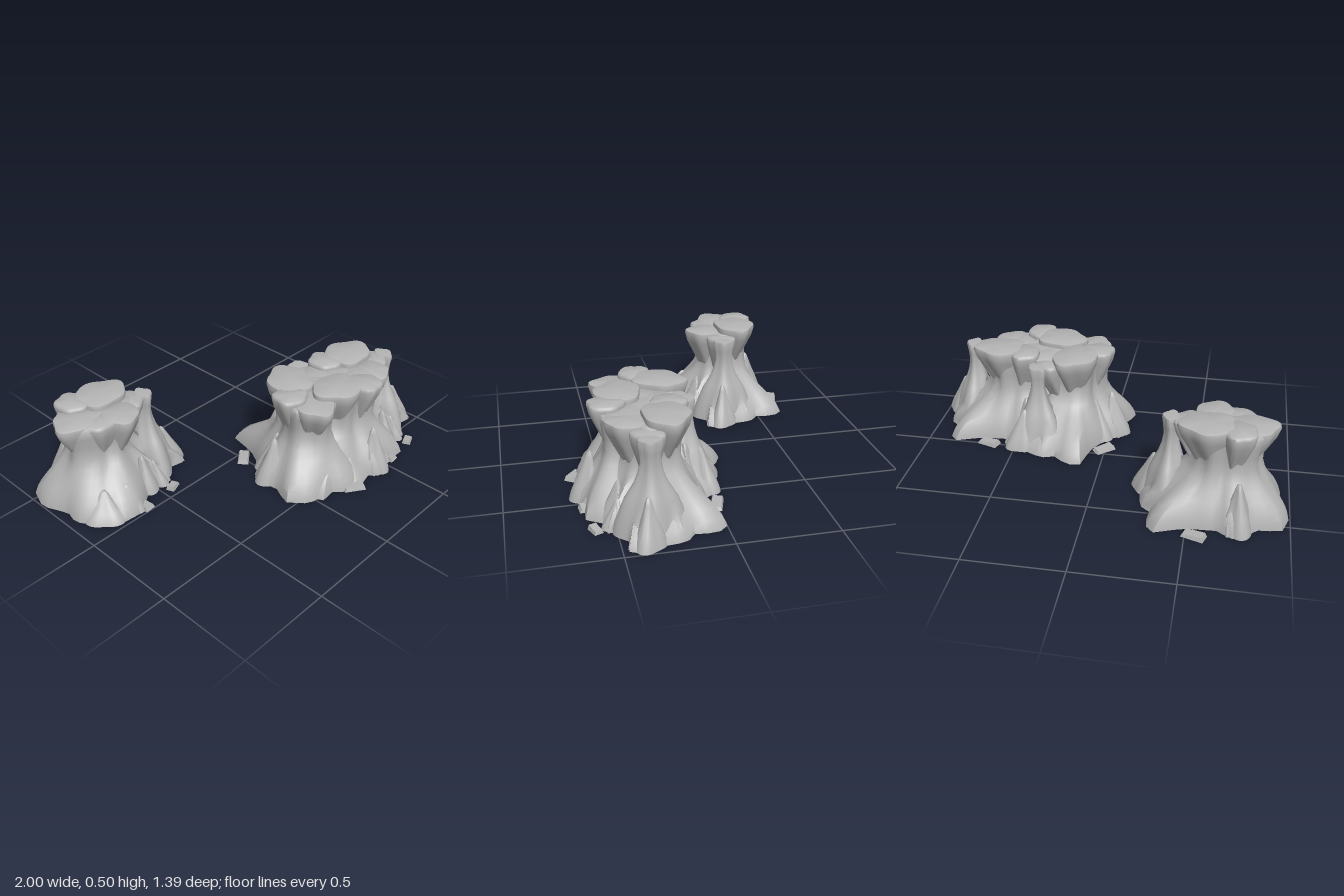
import * as THREE from 'three';
import { toCreasedNormals } from 'three/addons/utils/BufferGeometryUtils.js';

const SEG = 48;

// Closed shell through rings of points; the last ring may collapse to a centre
function loft(levels, ringAt) {
  const pos = [], idx = [];
  levels.forEach((level, j) => {
    for (let k = 0; k < SEG; k++) {
      pos.push(...ringAt(level, (k / SEG) * Math.PI * 2));
      if (j === 0) continue;
      const a = (j - 1) * SEG + k, b = (j - 1) * SEG + (k + 1) % SEG;
      idx.push(a, a + SEG, b, b, a + SEG, b + SEG);
    }
  });
  const geo = new THREE.BufferGeometry();
  geo.setAttribute('position', new THREE.Float32BufferAttribute(pos, 3));
  geo.setIndex(idx);
  return toCreasedNormals(geo, 0.9);
}

// Ragged foot of one rock, x and z about its middle
const FOOT = [[-.35, -.07], [-.31, -.19], [-.18, -.2], [-.15, -.27], [-.05, -.29], [-.02, -.235],
  [.17, -.245], [.29, -.31], [.35, -.245], [.335, -.13], [.41, -.085], [.385, -.02], [.42, .02],
  [.447, .11], [.41, .18], [.345, .165], [.25, .14], [.235, .17], [.25, .245], [.2, .26],
  [.145, .19], [.09, .245], [-.03, .335], [-.15, .325], [-.165, .26], [-.255, .23], [-.31, .15], [-.29, .07]];

// Distance from the middle to the foot outline in one direction
function footRadius(a) {
  const dx = Math.cos(a), dz = Math.sin(a);
  let best = 0.2;
  FOOT.forEach(([x1, z1], i) => {
    const [x2, z2] = FOOT[(i + 1) % FOOT.length];
    const ex = x2 - x1, ez = z2 - z1, den = dx * ez - dz * ex;
    if (Math.abs(den) < 1e-9) return;
    const t = (x1 * ez - z1 * ex) / den, s = (x1 * dz - z1 * dx) / den;
    if (t > 0 && s >= 0 && s <= 1) best = t;
  });
  return best;
}

// Fluted waist of the trunk
function waistRadius(a) {
  const rx = Math.cos(a) < 0 ? 0.195 : 0.155, rz = 0.13;
  const r = 1 / Math.hypot(Math.cos(a) / rx, Math.sin(a) / rz);
  return r * (1 + 0.07 * Math.sin(5 * a + 1) + 0.04 * Math.sin(9 * a));
}

// Trunk: [height, blend from foot to waist, scale]
const TRUNK = [[0, 0, 1], [.015, .02, 1], [.05, .1, 1], [.09, .24, 1], [.13, .43, 1], [.175, .66, 1],
  [.22, .86, 1], [.27, 1, 1], [.34, 1, 1.02], [.4, 1, 1.1], [.45, 1, 1.14], [.462, 1, 1.08], [.465, 1, 0]];

function trunkRadius([, t, s], a) {
  return s * THREE.MathUtils.lerp(footRadius(a), waistRadius(a), t);
}

function trunk() {
  return loft(TRUNK, (level, a) => {
    const r = trunkRadius(level, a);
    return [Math.cos(a) * r, level[0], Math.sin(a) * r];
  });
}

// Keeps the hidden side of an attached part just under the trunk's skin
function hugTrunk(x, y, z) {
  const a = Math.atan2(z, x);
  const j = Math.max(1, TRUNK.findIndex((level) => level[0] >= y));
  const [lo, hi] = [TRUNK[j - 1], TRUNK[j]];
  const skin = THREE.MathUtils.mapLinear(y, lo[0], hi[0], trunkRadius(lo, a), trunkRadius(hi, a));
  const r = Math.max(Math.hypot(x, z), skin - 0.012);
  return [Math.cos(a) * r, y, Math.sin(a) * r];
}

// Flared lobe hanging from the top: [height below top, scale, drift to the middle]
const LOBE = [[-.27, .3, .35], [-.2, .52, .25], [-.13, .72, .13], [-.07, .9, .03], [-.022, 1, 0],
  [-.006, .97, 0], [0, .85, 0], [.003, 0, 0]];

function lobe(x, z, rx, rz, top, phase) {
  return loft(LOBE, ([dy, s, d], a) => {
    const ripple = 0.05 - Math.min(dy + 0.03, 0) * 0.4;
    const r = s * (1 + 0.05 * Math.sin(3 * a + phase) + ripple * Math.sin(5 * a + phase * 2));
    return [x * (1 - d) + Math.cos(a) * rx * r, top + dy, z * (1 - d) + Math.sin(a) * rz * r];
  });
}

// Slim free pillar with a broad shouldered root: [height, radius]
const PILLAR = [[0, .155], [.06, .145], [.12, .125], [.17, .108], [.205, .09], [.25, .067], [.3, .05],
  [.35, .041], [.4, .045], [.445, .052], [.458, .048], [.462, 0]];

function pillar(x, z) {
  return loft(PILLAR, ([y, r], a) => {
    const q = r * (1 + 0.1 * Math.sin(4 * a + 1));
    const px = x + Math.cos(a) * q * 0.85, pz = z + Math.sin(a) * q * 1.05;
    return y < 0.26 ? hugTrunk(px, y, pz) : [px, y, pz];
  });
}

// Pointed buttress leaning toward the trunk: [share of height, share of radius]
const SPUR = [[0, 1], [.15, .93], [.35, .74], [.6, .47], [.85, .24], [.96, .13], [1, 0]];

function spur(x, z, r, h, phase) {
  return loft(SPUR, ([v, s], a) => {
    const q = r * s * (1 + 0.13 * Math.sin(3 * a + phase)), lean = 1 - 0.1 * v;
    return hugTrunk(x * lean + Math.cos(a) * q, h * v, z * lean + Math.sin(a) * q);
  });
}

// Lobes: x, z, radii, top height, phase
const LOBES = [[-.125, .005, .135, .105, .47, 0], [.075, -.065, .14, .115, .5, 1.4],
  [.05, .115, .1, .1, .47, 2.5], [-.075, -.105, .08, .09, .497, 4], [-.06, .09, .09, .08, .468, 5],
  [.17, .035, .085, .08, .458, 3]];

// Spurs: x, z, radius, height, phase
const SPURS = [[.38, .08, .075, .22, 0], [-.1, -.205, .08, .25, 1], [.13, .19, .075, .2, 2],
  [.2, .205, .055, .14, 3], [-.17, .22, .1, .14, 4], [-.05, .26, .075, .14, 5]];

// Pebbles: x, z, length, width, turn
const PEBBLES = [[.105, -.3, .115, .06, -.32], [.01, .3, .06, .1, .1], [.215, .295, .07, .045, .4]];

// Low slab with a tilted, narrowed top
function pebble(length, width) {
  const geo = new THREE.BoxGeometry(length, 0.024, width);
  const p = geo.attributes.position;
  for (let i = 0; i < p.count; i++) {
    if (p.getY(i) > 0) p.setXYZ(i, p.getX(i) * 0.85, p.getY(i) - (p.getX(i) > 0 ? 0.008 : 0), p.getZ(i) * 0.8);
  }
  geo.computeVertexNormals();
  return geo;
}

function rockParts() {
  return [
    ['trunk', trunk()],
    ['pillar', pillar(.26, .045)],
    ...LOBES.map((l) => ['topLobe', lobe(...l)]),
    ...SPURS.map((s) => ['spur', spur(...s)]),
    ...PEBBLES.map(([x, z, l, w, turn]) => ['pebble', pebble(l, w).rotateY(turn).translate(x, 0.014, z)]),
  ];
}

export function createModel() {
  const model = new THREE.Group();
  model.name = 'rockFormations';
  const stone = new THREE.MeshStandardMaterial({ color: 0xb4b4b4, side: THREE.DoubleSide });
  stone.name = 'grey stone';
  const parts = rockParts();

  // One rock alone and three turned copies merged into a larger outcrop
  const places = [['loneRock', -.65, -.35, 0], ['outcropRight', .545, .3, 0],
    ['outcropLeft', .203, .288, 58], ['outcropFront', .395, .372, 165]];
  for (const [name, x, z, turn] of places) {
    const rock = new THREE.Group();
    rock.name = name;
    for (const [part, geo] of parts) {
      const mesh = new THREE.Mesh(geo, stone);
      mesh.name = part;
      rock.add(mesh);
    }
    rock.position.set(x, 0, z);
    rock.rotation.y = THREE.MathUtils.degToRad(turn);
    model.add(rock);
  }
  return model;
}
